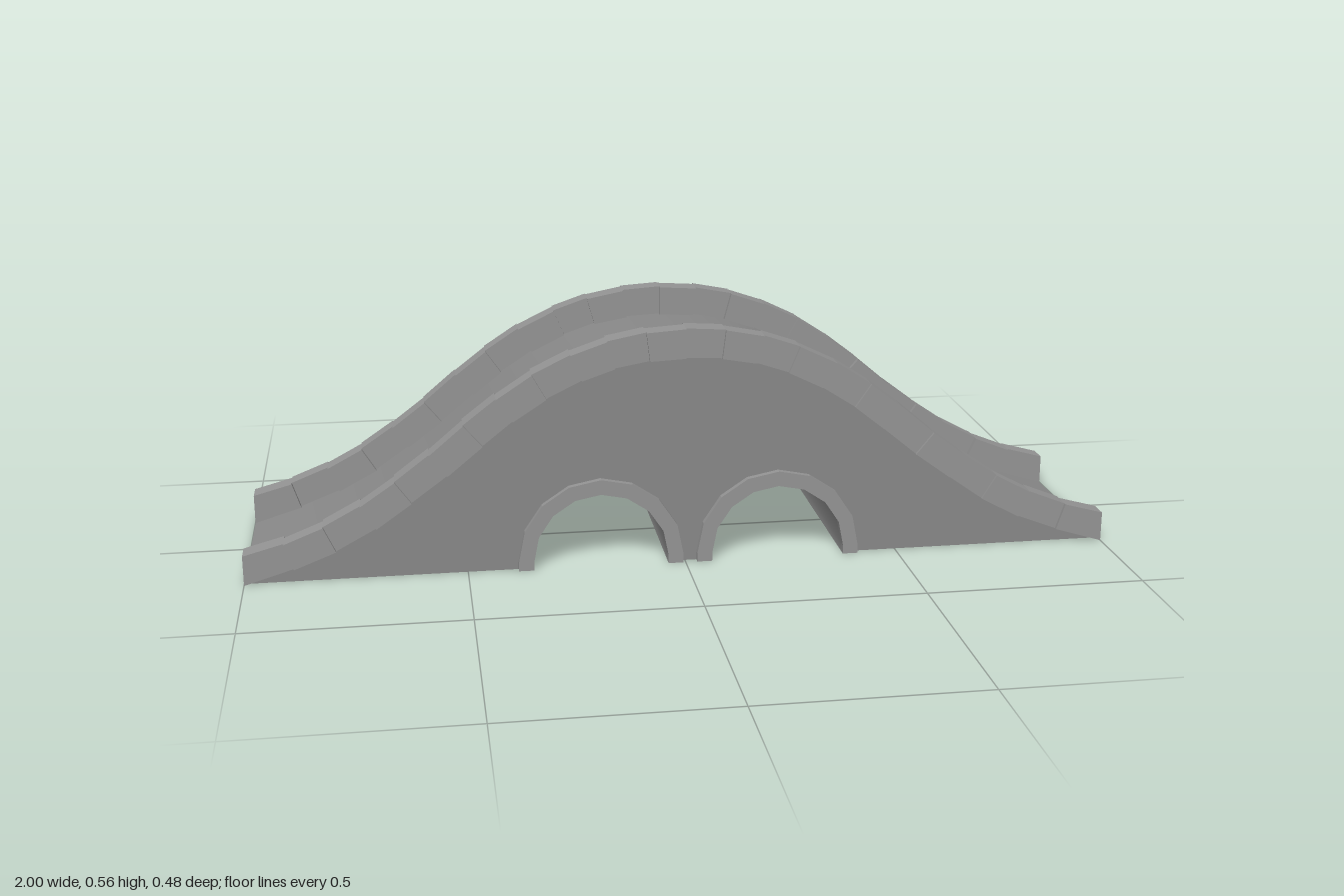
import * as THREE from 'three';

const WALL_Z = 0.22, RIM_Z = 0.235;
const ARCH_R = 0.155, RIM_R = 0.19, ARCH_Y = 0.02, ARCH_X = [-0.195, 0.217];

// Symmetric outline from half a profile, running from +x to -x, one point per block joint
function hump(half) {
  const mirrored = half.slice(0, -1).reverse().map(([x, y]) => [-x, y]);
  return [...half, ...mirrored].map(([x, y]) => new THREE.Vector2(x, y));
}
const deckLine = hump([[1, 0], [0.888, 0.034], [0.793, 0.071], [0.702, 0.12], [0.621, 0.177], [0.539, 0.237], [0.459, 0.303],
  [0.391, 0.357], [0.315, 0.406], [0.235, 0.445], [0.161, 0.47], [0.082, 0.484], [0, 0.488]]);
const curbLine = hump([[1, 0.07], [0.908, 0.095], [0.82, 0.13], [0.736, 0.175], [0.658, 0.228], [0.58, 0.287], [0.502, 0.353],
  [0.428, 0.41], [0.347, 0.463], [0.26, 0.505], [0.178, 0.533], [0.09, 0.55], [0, 0.556]]);

// Arch outline from its left foot over the top to its right foot
function archPoints(cx, r, segments = 8) {
  const pts = [new THREE.Vector2(cx - r, 0)];
  for (let i = 0; i <= segments; i++) {
    const a = Math.PI * (1 - i / segments);
    pts.push(new THREE.Vector2(cx + r * Math.cos(a), ARCH_Y + r * Math.sin(a)));
  }
  pts.push(new THREE.Vector2(cx + r, 0));
  return pts;
}

// Thin smooth sheet made by sweeping a profile across the bridge
function sheet(points, z) {
  const pos = [], index = [];
  points.forEach((p, i) => {
    pos.push(p.x, p.y, z, p.x, p.y, -z);
    if (i) {
      const a = 2 * i - 2;
      index.push(a, a + 2, a + 1, a + 1, a + 2, a + 3);
    }
  });
  const g = new THREE.BufferGeometry();
  g.setAttribute('position', new THREE.Float32BufferAttribute(pos, 3));
  g.setIndex(index);
  g.computeVertexNormals();
  return g;
}

function slab(points, z0, z1) {
  const g = new THREE.ExtrudeGeometry(new THREE.Shape(points), { depth: z1 - z0, bevelEnabled: false });
  return g.translate(0, 0, z0);
}

export function createModel() {
  const model = new THREE.Group();
  model.name = 'archBridge';
  const body = new THREE.MeshStandardMaterial({ color: 0x888888, side: THREE.DoubleSide });
  const trim = new THREE.MeshStandardMaterial({ color: 0x949494 });
  const vault = new THREE.MeshStandardMaterial({ color: 0x949494, side: THREE.DoubleSide });
  const add = (name, geometry, material, parent = model) => {
    const mesh = new THREE.Mesh(geometry, material);
    mesh.name = name;
    parent.add(mesh);
    return mesh;
  };

  // Humped deck, open underneath; reversed so its normals point up
  add('deck', sheet([...deckLine].reverse(), WALL_Z), body);

  // Side walls with two arch openings cut from the bottom edge
  const outline = [...ARCH_X.flatMap(x => archPoints(x, ARCH_R)), ...deckLine];
  for (const s of [1, -1]) {
    const wall = add(s > 0 ? 'frontWall' : 'backWall', new THREE.ShapeGeometry(new THREE.Shape(outline)), body);
    wall.position.z = s * WALL_Z;
    wall.scale.z = s;
  }

  // Tunnels with a raised stone rim at each mouth
  ARCH_X.forEach((x, i) => {
    const tunnel = new THREE.Group();
    tunnel.name = i ? 'leftTunnel' : 'rightTunnel';
    model.add(tunnel);
    const inner = archPoints(x, ARCH_R);
    add('tunnelVault', sheet(inner, WALL_Z), vault, tunnel);
    const ring = [...archPoints(x, RIM_R), ...inner.reverse()];
    add('frontArchRim', slab(ring, WALL_Z - 0.005, RIM_Z), trim, tunnel);
    add('backArchRim', slab(ring, -RIM_Z, 0.005 - WALL_Z), trim, tunnel);
  });

  // Curbs of stone blocks, shifted alternately inwards and outwards
  for (const s of [1, -1]) {
    const curb = new THREE.Group();
    curb.name = s > 0 ? 'frontCurb' : 'backCurb';
    model.add(curb);
    for (let i = 0; i < deckLine.length - 1; i++) {
      const face = [deckLine[i], deckLine[i + 1], curbLine[i + 1], curbLine[i]];
      const [a, b] = i % 2 ? [0.18, 0.232] : [0.192, 0.24];
      add('curbBlock', s > 0 ? slab(face, a, b) : slab(face, -b, -a), trim, curb);
    }
  }
  return model;
}
